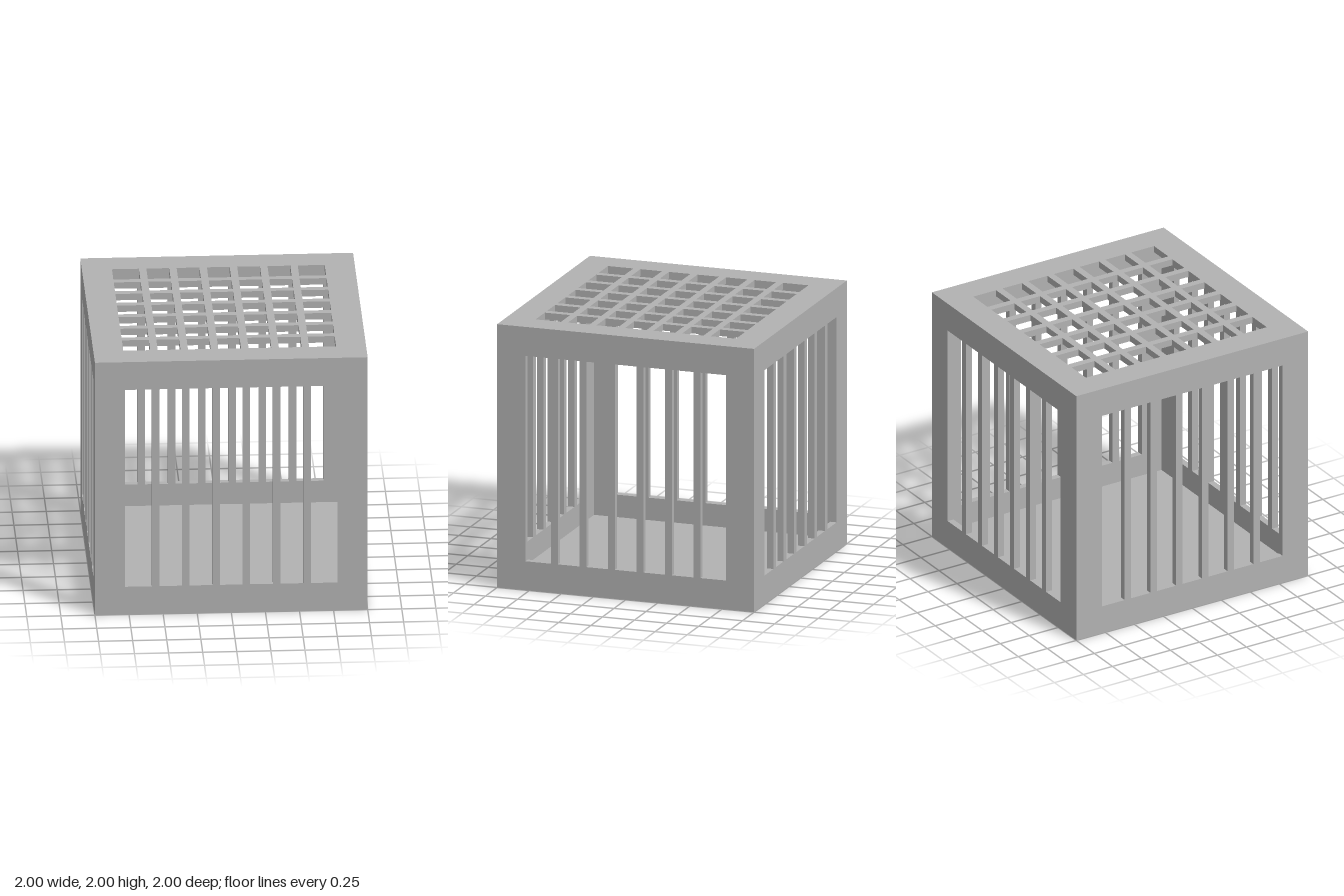
import * as THREE from 'three';

const T = 0.05; // panel thickness
const OPEN = 0.78; // half size of each barred opening
const BAR = 0.055; // bar width
const BARS = [-0.555, -0.333, -0.111, 0.111, 0.333, 0.555];

// gaps between the bars, as [start, end] pairs
const edges = [-OPEN, ...BARS.flatMap((b) => [b - BAR / 2, b + BAR / 2]), OPEN];
const GAPS = [];
for (let i = 0; i < edges.length; i += 2) GAPS.push([edges[i], edges[i + 1]]);

function rect(target, x0, x1, y0, y1) {
  target.moveTo(x0, y0);
  target.lineTo(x1, y0);
  target.lineTo(x1, y1);
  target.lineTo(x0, y1);
  target.closePath();
  return target;
}

// flat panel with rectangular holes, centred on its own thickness
function panel(halfW, halfH, rows) {
  const shape = rect(new THREE.Shape(), -halfW, halfW, -halfH, halfH);
  for (const [x0, x1] of GAPS) {
    for (const [y0, y1] of rows) shape.holes.push(rect(new THREE.Path(), x0, x1, y0, y1));
  }
  const geo = new THREE.ExtrudeGeometry(shape, { depth: T, bevelEnabled: false });
  return geo.translate(0, 0, -T / 2);
}

export function createModel() {
  const model = new THREE.Group();
  model.name = 'cage';
  const grey = new THREE.MeshStandardMaterial({ color: 0xb2b2b2 });
  grey.name = 'grey';

  function add(name, geo, x, y, z) {
    const mesh = new THREE.Mesh(geo, grey);
    mesh.name = name;
    mesh.position.set(x, y, z);
    model.add(mesh);
    return mesh;
  }

  // solid floor and grid roof cover the full square
  add('floor', new THREE.BoxGeometry(2, T, 2), 0, T / 2, 0);
  add('gridRoof', panel(1, 1, GAPS), 0, 2 - T / 2, 0).rotation.x = -Math.PI / 2;

  // barred walls stand between floor and roof; side walls fit between front and back
  const tall = [[-OPEN, OPEN]];
  const wide = panel(1, 1 - T, tall);
  const narrow = panel(1 - T, 1 - T, tall);
  const off = 1 - T / 2;
  add('frontWall', wide, 0, 1, off);
  add('backWall', wide, 0, 1, -off).rotation.y = Math.PI;
  add('leftWall', narrow, off, 1, 0).rotation.y = Math.PI / 2;
  add('rightWall', narrow, -off, 1, 0).rotation.y = -Math.PI / 2;

  return model;
}
